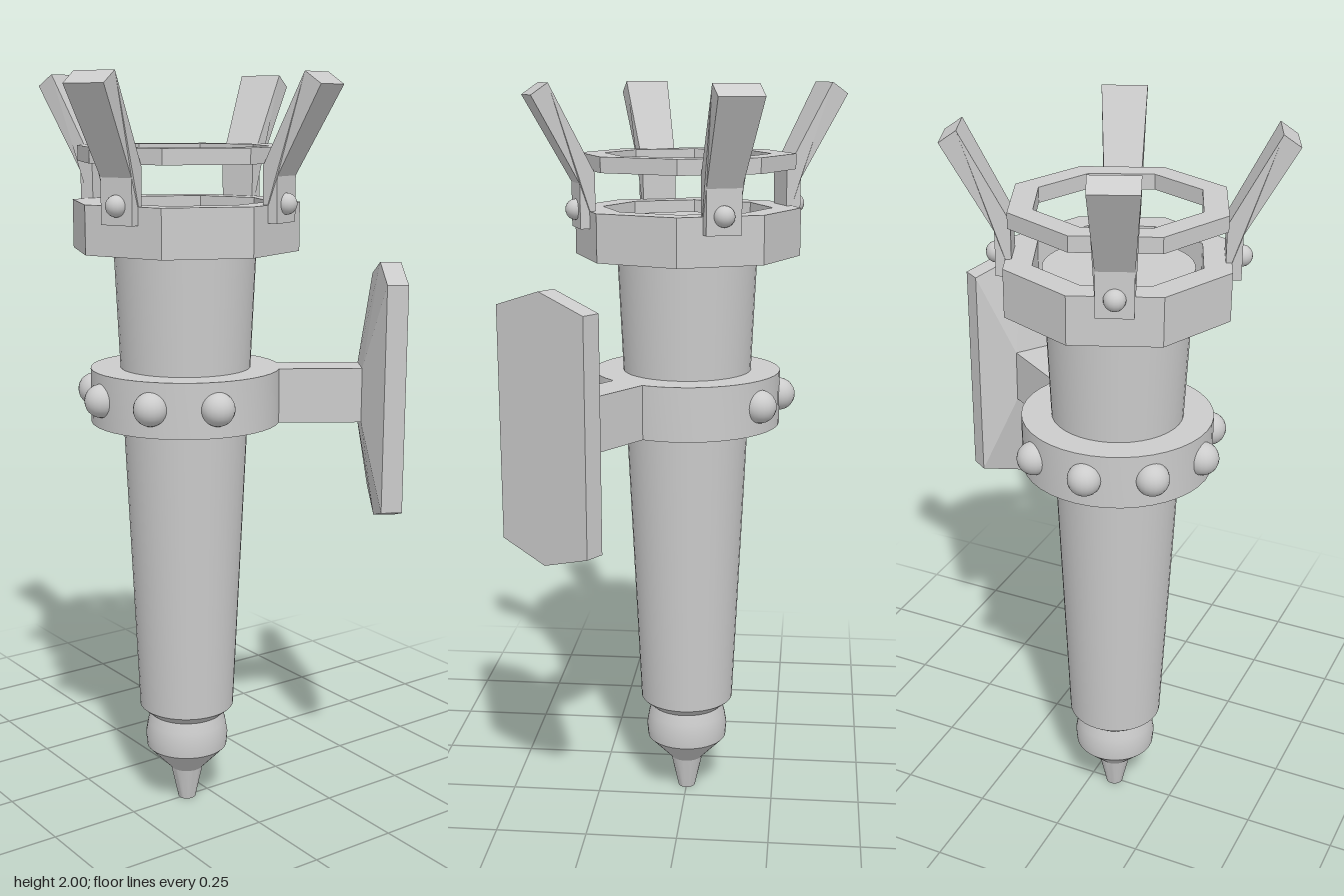
import * as THREE from 'three';
import { toCreasedNormals } from 'three/addons/utils/BufferGeometryUtils.js';
import { ConvexGeometry } from 'three/addons/geometries/ConvexGeometry.js';

const grey = new THREE.MeshStandardMaterial({ color: 0xcccccc });
const flatGrey = new THREE.MeshStandardMaterial({ color: 0xcccccc, flatShading: true });
const V2 = (x, y) => new THREE.Vector2(x, y);
const rad = THREE.MathUtils.degToRad;

function add(parent, name, geometry, material = grey) {
  const mesh = new THREE.Mesh(geometry, material);
  mesh.name = name;
  parent.add(mesh);
  return mesh;
}

function lathe(points) {
  const geometry = new THREE.LatheGeometry(points.map(([r, y]) => V2(r, y)), 40);
  return toCreasedNormals(geometry, 0.5);
}

// Octagonal ring with its corners on the axes
function octagonRing(outer, inner, bottom, top) {
  const corners = (r) => Array.from({ length: 8 }, (_, i) =>
    V2(r * Math.cos(i * Math.PI / 4), r * Math.sin(i * Math.PI / 4)));
  const shape = new THREE.Shape(corners(outer));
  shape.holes.push(new THREE.Path(corners(inner)));
  const geometry = new THREE.ExtrudeGeometry(shape, { depth: top - bottom, bevelEnabled: false });
  return geometry.rotateX(-Math.PI / 2).translate(0, bottom, 0);
}

// Bent prong: upright tab, then a flaring arm leaning outward along +x
function prongGeometry() {
  const shape = new THREE.Shape([
    V2(0.262, 1.635), V2(0.302, 1.635), V2(0.302, 1.75),
    V2(0.426, 1.97), V2(0.382, 2.0), V2(0.262, 1.775),
  ]);
  const geometry = new THREE.ExtrudeGeometry(shape, { depth: 1, bevelEnabled: false });
  const p = geometry.attributes.position;
  for (let i = 0; i < p.count; i++) {
    const t = THREE.MathUtils.clamp((p.getY(i) - 1.75) / 0.23, 0, 1);
    p.setZ(i, (p.getZ(i) - 0.5) * THREE.MathUtils.lerp(0.093, 0.12, t));
  }
  geometry.computeVertexNormals();
  return geometry;
}

// Wall plate: pointed six-sided slab whose inner face rises to the arm
function plateGeometry() {
  const points = [];
  const outline = [[0, 1.52], [0.145, 1.475], [0.145, 0.875], [0, 0.83], [-0.145, 0.875], [-0.145, 1.475]];
  for (const x of [0.513, 0.568]) {
    for (const [z, y] of outline) points.push(new THREE.Vector3(x, y, z));
  }
  for (const z of [-0.05, 0.05]) {
    for (const y of [1.1, 1.245]) points.push(new THREE.Vector3(0.466, y, z));
  }
  return new ConvexGeometry(points);
}

export function createModel() {
  const model = new THREE.Group();
  model.name = 'wallTorch';
  const torch = new THREE.Group();
  torch.name = 'torch';
  torch.position.z = 0.07;
  model.add(torch);

  // Tapered shaft with a turned finial
  add(torch, 'shaft', lathe([
    [0, 0.262], [0.1, 0.262], [0.13, 0.288], [0.187, 1.555], [0.191, 1.65], [0, 1.65],
  ]));
  add(torch, 'finial', lathe([
    [0, 0], [0.024, 0], [0.045, 0.095], [0.112, 0.165],
    [0.115, 0.2], [0.109, 0.235], [0.1, 0.268], [0, 0.268],
  ]));

  // Band around the shaft
  add(torch, 'band', lathe([
    [0.16, 1.1], [0.252, 1.1], [0.252, 1.245], [0.16, 1.245],
  ]));

  // Studs around the band, leaving room for the bracket
  for (let i = 0; i < 6; i++) {
    const a = rad(-125 + i * 40);
    const stud = add(torch, 'bandStud', new THREE.SphereGeometry(0.044, 20, 14));
    stud.position.set(0.25 * Math.sin(a), 1.175, 0.25 * Math.cos(a));
  }

  // Octagonal rings of the head
  add(torch, 'lowerRing', octagonRing(0.3, 0.225, 1.555, 1.68), flatGrey);
  add(torch, 'upperRing', octagonRing(0.285, 0.22, 1.78, 1.82), flatGrey);

  // Four prongs, each with its rivet
  const prong = prongGeometry();
  for (let i = 0; i < 4; i++) {
    const group = new THREE.Group();
    group.name = 'prong';
    group.rotation.y = rad(22.5 + i * 90 - 90);
    torch.add(group);
    add(group, 'prongArm', prong, flatGrey);
    const rivet = add(group, 'prongRivet', new THREE.SphereGeometry(0.027, 16, 12));
    rivet.position.set(0.303, 1.682, 0);
  }

  // Bracket to the wall
  const bracket = new THREE.Group();
  bracket.name = 'bracket';
  bracket.rotation.y = rad(146.2 - 90);
  torch.add(bracket);
  const arm = add(bracket, 'bracketArm', new THREE.BoxGeometry(0.28, 0.145, 0.1), flatGrey);
  arm.position.set(0.34, 1.1725, 0);
  add(bracket, 'wallPlate', plateGeometry(), flatGrey);

  return model;
}
